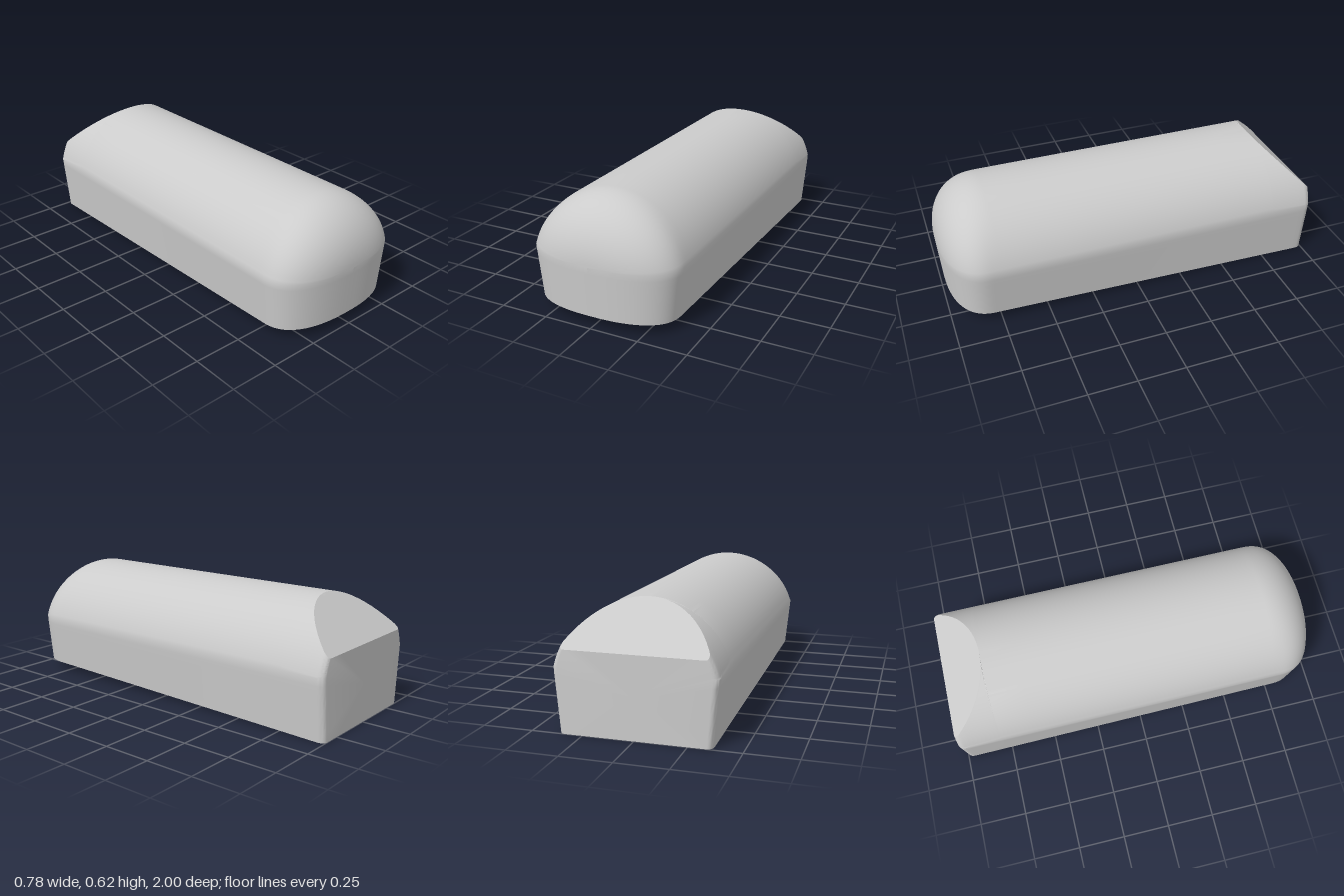
import * as THREE from 'three';
import { toCreasedNormals } from 'three/addons/utils/BufferGeometryUtils.js';

const EDGE_X = 0.392, EDGE_Y = 0.315, FLOOR_X = 0.365; // shoulder and floor of the section
const R = 0.403, CY = 0.215;                           // roof arc
const NOSE = 0.27;                                     // length of the rounded nose

// One closed cross-section, counterclockwise seen from the front
function section(z) {
  const t = Math.max(0, (z - (1 - NOSE)) / NOSE);
  const u = Math.max(0, (-0.965 - z) / 0.035);
  const tx = Math.max(0, (z - 0.78) / 0.22);
  const noseX = Math.pow(Math.max(0, 1 - tx ** 2.4), 1 / 2.4);
  const rearX = 1 - 0.075 * (1 - Math.sqrt(Math.max(0, 1 - u * u)));
  const sx = noseX * rearX;
  const sy = Math.sqrt(Math.max(0, 1 - t * t));
  const floorY = 0.028 * (z + 1);
  const pts = [];
  const add = (x, y) => {
    const lean = 0.02 * t * t * Math.max(0, (EDGE_Y - y) / EDGE_Y);
    const yy = y > EDGE_Y ? EDGE_Y + (y - EDGE_Y) * sy : y;
    pts.push(new THREE.Vector3(x * sx, yy, z - lean));
  };
  const lerp = THREE.MathUtils.lerp;

  // floor and right wall
  for (let i = 0; i < 8; i++) add(lerp(-FLOOR_X, FLOOR_X, i / 8), floorY);
  for (let i = 0; i < 8; i++) add(lerp(FLOOR_X, EDGE_X, i / 8), lerp(floorY, EDGE_Y, i / 8));

  // roof arc, cut flat by the sloping rear plane
  const cutY = 0.618 + Math.min(0, (z + 0.77) * 0.95);
  const cut = Math.acos(Math.min(1, (cutY - CY) / R));
  const edge = Math.atan2(EDGE_X, EDGE_Y - CY);
  const arc = (a) => add(R * Math.sin(a), CY + R * Math.cos(a));
  for (let i = 0; i < 24; i++) arc(lerp(edge, cut, i / 24));
  for (let i = 0; i < 8; i++) add(lerp(1, -1, i / 8) * R * Math.sin(cut), CY + R * Math.cos(cut));
  for (let i = 0; i < 24; i++) arc(lerp(-cut, -edge, i / 24));

  // left wall
  for (let i = 0; i < 8; i++) add(-lerp(EDGE_X, FLOOR_X, i / 8), lerp(EDGE_Y, floorY, i / 8));
  return pts;
}

function bodyGeometry() {
  // stations: rounded rear edge, rear slope, straight run, nose
  const zs = [];
  for (let i = 0; i < 6; i++) zs.push(-0.965 - 0.035 * Math.cos((i / 6) * Math.PI / 2));
  for (let i = 0; i < 12; i++) zs.push(-0.965 + 0.195 * (1 - (1 - i / 12) ** 2));
  for (let i = 0; i < 8; i++) zs.push(-0.77 + 1.5 * i / 8);
  for (let i = 0; i <= 28; i++) zs.push(1 - NOSE + NOSE * Math.sin((i / 28) * Math.PI / 2));

  const rings = zs.map(section);
  const n = rings[0].length;
  const pos = [], index = [];
  rings.forEach((ring) => ring.forEach((p) => pos.push(p.x, p.y, p.z)));
  for (let i = 0; i < rings.length - 1; i++) {
    for (let j = 0; j < n; j++) {
      const a = i * n + j, b = i * n + (j + 1) % n;
      index.push(a, b, a + n, b, b + n, a + n);
    }
  }
  // flat rear wall
  const centre = pos.length / 3;
  pos.push(0, 0.2, -1);
  for (let j = 0; j < n; j++) index.push(centre, (j + 1) % n, j);

  const geo = new THREE.BufferGeometry();
  geo.setAttribute('position', new THREE.Float32BufferAttribute(pos, 3));
  geo.setIndex(index);
  return toCreasedNormals(geo, 0.6);
}

export function createModel() {
  const group = new THREE.Group();
  const body = new THREE.Mesh(bodyGeometry(), new THREE.MeshStandardMaterial({ color: 0xcccccc }));
  body.name = 'body';
  group.add(body);
  return group;
}
